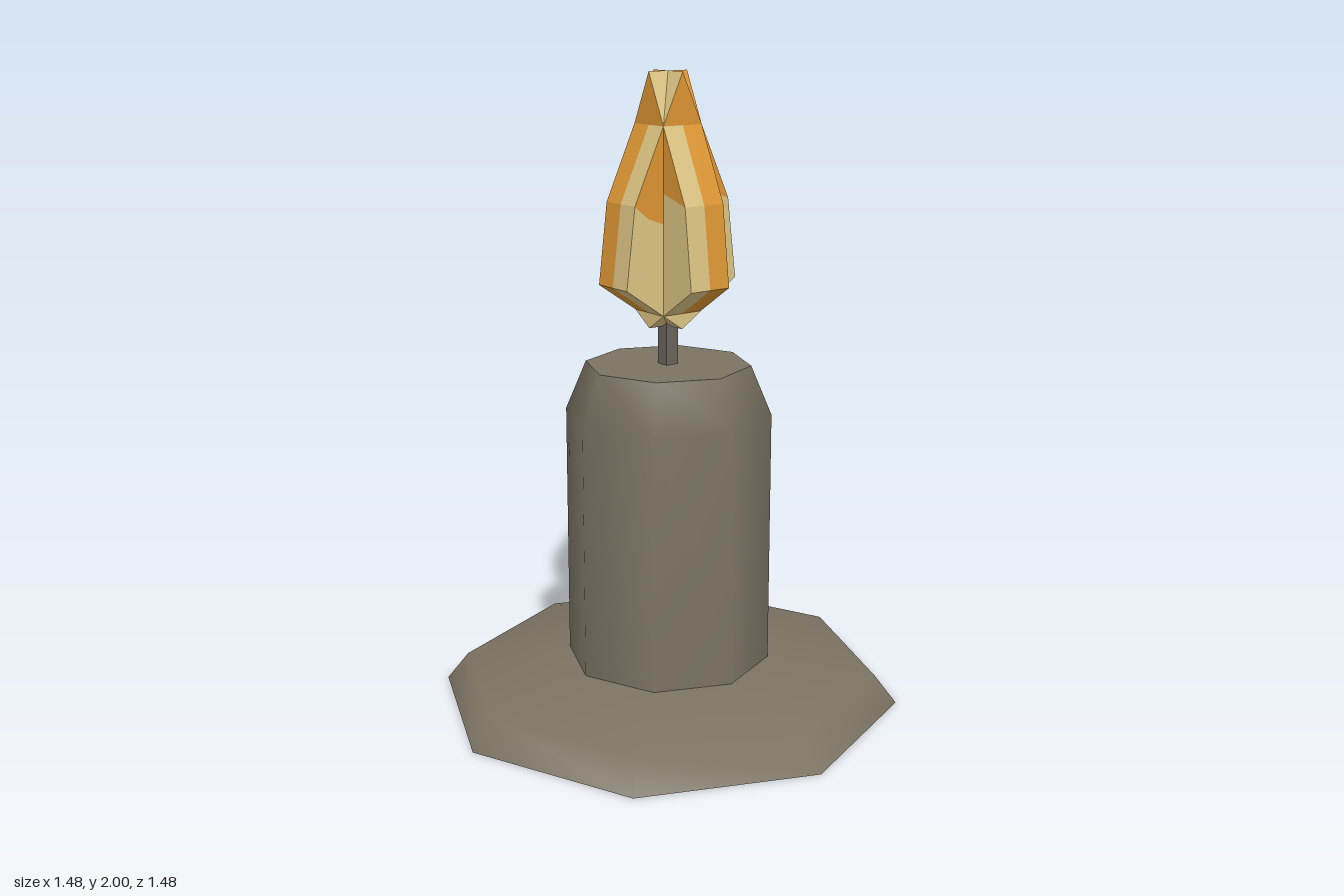
import * as THREE from 'three';

const wax = new THREE.MeshStandardMaterial({ color: 0x7b7363 });
wax.name = 'greyWax';
const char = new THREE.MeshStandardMaterial({ color: 0x6a635a });
char.name = 'wickGrey';
const orange = new THREE.MeshStandardMaterial({ color: 0xdc9533 });
orange.name = 'flameOrange';
const pale = new THREE.MeshStandardMaterial({ color: 0xdcc483 });
pale.name = 'flamePale';

const SIDES = 8;

function add(parent, name, geometry, material) {
  const mesh = new THREE.Mesh(geometry, material);
  mesh.name = name;
  parent.add(mesh);
  return mesh;
}

// Smooth octagonal body from [radius, height] pairs
function turned(profile) {
  return new THREE.LatheGeometry(profile.map(([r, y]) => new THREE.Vector2(r, y)), SIDES);
}

// Flat octagon facing up (1) or down (-1), with corners on the axes
function disc(radius, y, facing) {
  return new THREE.CircleGeometry(radius, SIDES).rotateX(-facing * Math.PI / 2).translate(0, y, 0);
}

// One flame blade: lower pale faces, upper orange faces, rim split along its middle
function flameBlade() {
  const blade = new THREE.Group();
  const half = 0.072;
  const seam = [[-0.177, 1.61], [-0.13, 1.57], [-0.075, 1.55], [0.075, 1.64], [0.177, 1.61]];
  const toShape = (points) => new THREE.Shape(points.map(([x, y]) => new THREE.Vector2(x, y)));
  const lower = toShape([[0, 1.22], [0.208, 1.36], ...[...seam].reverse(), [-0.208, 1.36]]);
  const upper = toShape([...seam, [0, 1.995]]);

  for (const [part, shape, face] of [['lower', lower, pale], ['upper', upper, orange]]) {
    for (const [side, z, rim] of [['Back', -half, orange], ['Front', 0, pale]]) {
      const slab = new THREE.ExtrudeGeometry(shape, { depth: half, bevelEnabled: false });
      add(blade, part + side + 'Flame', slab.translate(0, 0, z), [face, rim]);
    }
  }
  return blade;
}

export function createModel() {
  const model = new THREE.Group();
  model.name = 'candle';

  // Wide dish at the foot
  add(model, 'base', turned([[0.74, 0], [0.67, 0.09], [0.325, 0.137]]), wax);
  add(model, 'baseUnderside', disc(0.74, 0, -1), wax);

  // Candle body with a sloped shoulder
  add(model, 'candleBody', turned([[0.325, 0.137], [0.325, 0.945], [0.26, 1.1]]), wax);
  add(model, 'candleTop', disc(0.26, 1.1, 1), wax);

  // Wick
  add(model, 'wick', new THREE.BoxGeometry(0.045, 0.16, 0.045).translate(0, 1.17, 0), char);

  // Flame made of two crossed blades
  const flame = new THREE.Group();
  flame.name = 'flame';
  for (let i = 0; i < 2; i++) {
    const blade = flameBlade();
    blade.name = 'flameBlade' + (i + 1);
    blade.rotation.y = i * Math.PI / 2;
    flame.add(blade);
  }
  model.add(flame);

  return model;
}
